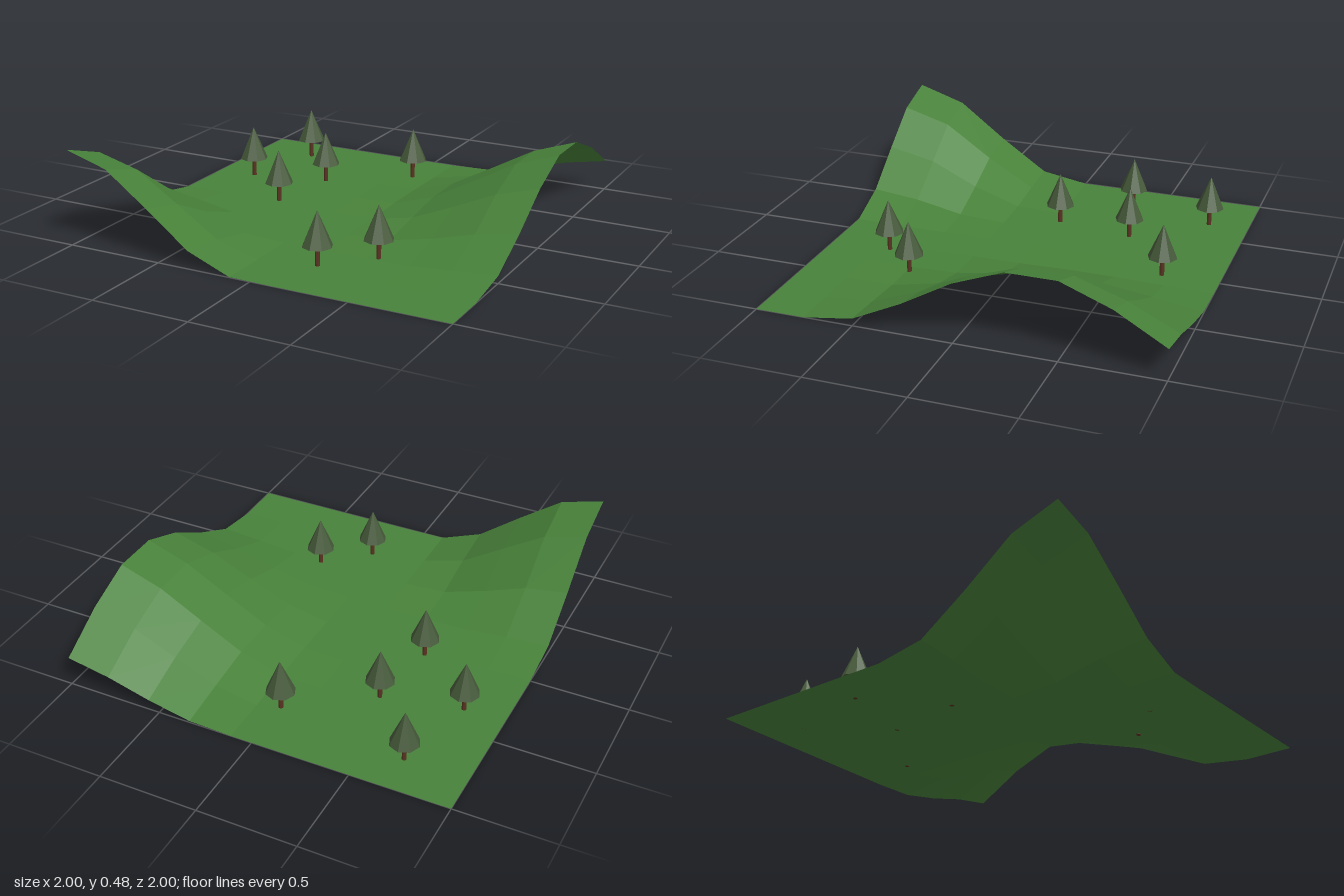
import * as THREE from 'three';

const grass = new THREE.MeshStandardMaterial({ color: 0x48823a, side: THREE.DoubleSide });
grass.name = 'grass green';
const needles = new THREE.MeshStandardMaterial({ color: 0x465a3a });
needles.name = 'needle green';
needles.flatShading = true;
const bark = new THREE.MeshStandardMaterial({ color: 0x5a3322 });
bark.name = 'bark brown';
bark.flatShading = true;

// Rounded hills that fall off as a cosine
const hills = [
  { x: -1, z: 1, radius: 0.93, height: 0.48 },
  { x: 1.11, z: -0.375, radius: 1.09, height: 0.42 },
];

function groundHeight(x, z) {
  let y = 0;
  for (const h of hills) {
    const d = Math.hypot(x - h.x, z - h.z) / h.radius;
    if (d < 1) y += h.height * (1 + Math.cos(Math.PI * d)) / 2;
  }
  return y;
}

// Thin sheet of 9 x 8 tiles, each tile shaded as one flat facet
function makeGround() {
  const grid = new THREE.PlaneGeometry(2, 2, 9, 8).rotateX(-Math.PI / 2);
  const p = grid.attributes.position;
  for (let i = 0; i < p.count; i++) p.setY(i, groundHeight(p.getX(i), p.getZ(i)));
  const geo = grid.toNonIndexed();
  const pos = geo.attributes.position;
  const a = new THREE.Vector3(), b = a.clone(), c = a.clone(), d = a.clone();
  for (let i = 0; i < pos.count; i += 6) {
    a.fromBufferAttribute(pos, i);
    b.fromBufferAttribute(pos, i + 1);
    d.fromBufferAttribute(pos, i + 2);
    c.fromBufferAttribute(pos, i + 4);
    const n = c.clone().sub(a).cross(d.clone().sub(b)).normalize();
    if (n.y < 0) n.negate();
    for (let k = 0; k < 6; k++) geo.attributes.normal.setXYZ(i + k, n.x, n.y, n.z);
  }
  const mesh = new THREE.Mesh(geo, grass);
  mesh.name = 'ground';
  return mesh;
}

// Conifers: a slim trunk under one eight-sided cone
const trunkGeo = new THREE.CylinderGeometry(0.012, 0.012, 0.11, 8).translate(0, 0.055, 0);
const crownGeo = new THREE.ConeGeometry(0.075, 0.175, 8).translate(0, 0.185, 0);

function makeTree(x, z) {
  const tree = new THREE.Group();
  tree.name = 'tree';
  const trunk = new THREE.Mesh(trunkGeo, bark);
  trunk.name = 'trunk';
  const crown = new THREE.Mesh(crownGeo, needles);
  crown.name = 'crown';
  tree.add(trunk, crown);
  tree.position.set(x, 0, z);
  return tree;
}

export function createModel() {
  const model = new THREE.Group();
  model.name = 'valley';
  model.add(makeGround());
  const spots = [
    [-0.68, -0.79], [0, -0.71], [-0.39, -0.43], [-0.79, -0.34],
    [-0.45, -0.03], [0.39, 0.48], [0.175, 0.685],
  ];
  for (const [x, z] of spots) model.add(makeTree(x, z));
  return model;
}
